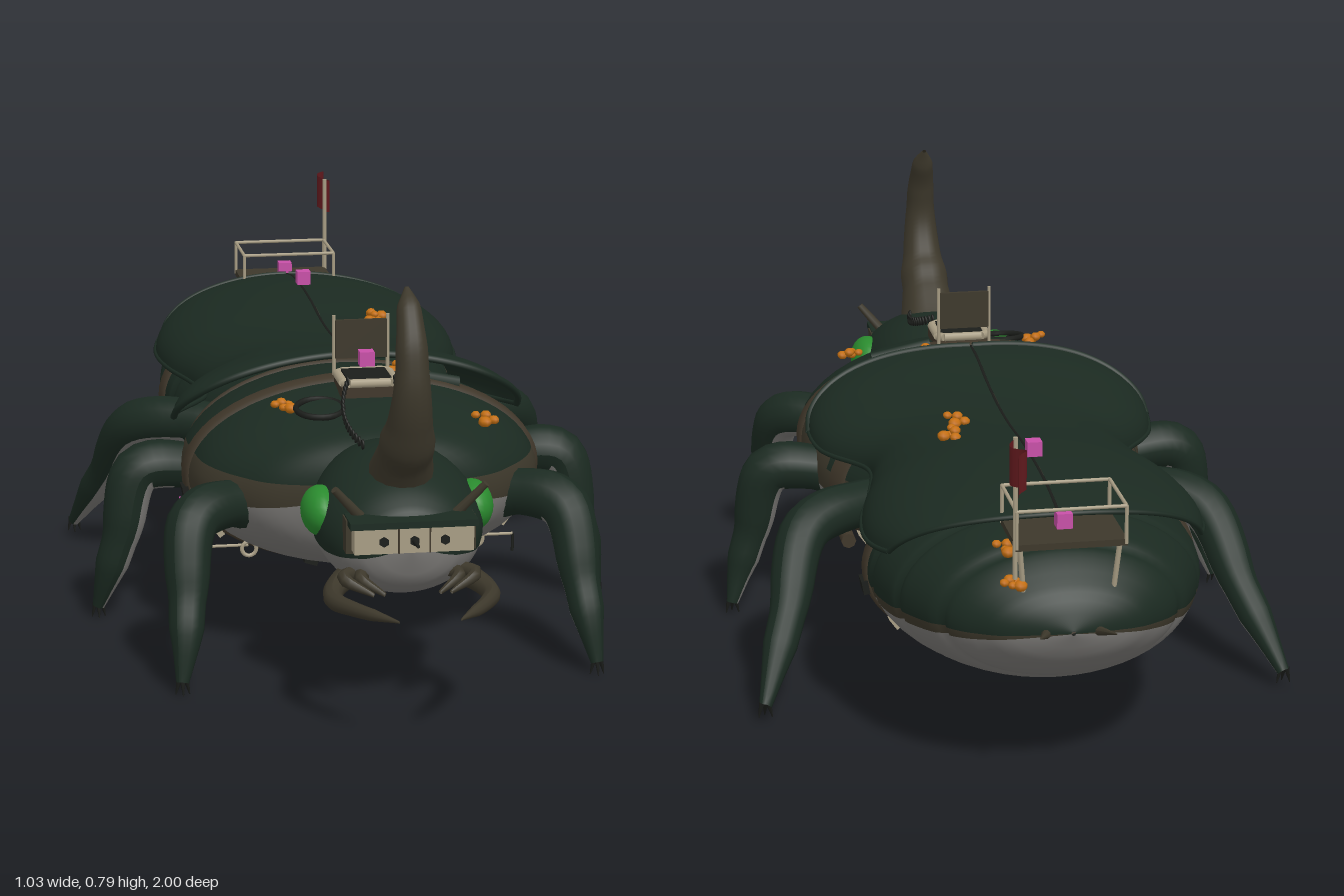
import * as THREE from 'three';

const mat = (name, color, side = THREE.FrontSide) => {
  const m = new THREE.MeshStandardMaterial({ color, side });
  m.name = name;
  return m;
};
const V = (x, y, z) => new THREE.Vector3(x, y, z);

export function createModel() {
  const root = new THREE.Group();
  root.name = 'ridingBeetle';
  const D = THREE.DoubleSide;
  const green = mat('shell green', 0x1b2a21, D), brown = mat('horn brown', 0x3d382b, D);
  const grey = mat('belly grey', 0x7a7875), tan = mat('brass tan', 0xa89d84);
  const leather = mat('strap leather', 0x40372a, D), dark = mat('dark iron', 0x1b1d1a);
  const eyeGreen = mat('eye green', 0x2a8a2e), orange = mat('fungus orange', 0xc46f12);
  const pink = mat('marker pink', 0xc850a8), red = mat('flag red', 0x641a1e, D);

  const add = (name, geo, m, x = 0, y = 0, z = 0) => {
    const o = new THREE.Mesh(geo, m);
    o.name = name;
    o.position.set(x, y, z);
    root.add(o);
    return o;
  };
  const box = (name, m, w, h, d, x, y, z) => add(name, new THREE.BoxGeometry(w, h, d), m, x, y, z);
  // Straight rod between two points, optionally tapered
  const rod = (name, m, a, b, r0, r1 = r0, sides = 8) => {
    const d = b.clone().sub(a);
    const o = add(name, new THREE.CylinderGeometry(r1, r0, d.length(), sides), m);
    o.position.copy(a).add(b).multiplyScalar(0.5);
    o.quaternion.setFromUnitVectors(V(0, 1, 0), d.normalize());
    return o;
  };
  // Sorts faces into material groups; pick gets the face number and its normal
  const paint = (geo, count, pick) => {
    const idx = geo.index.array, p = geo.attributes.position, sets = Array.from({ length: count }, () => []);
    const a = V(), b = V(), c = V();
    for (let i = 0; i < idx.length; i += 3) {
      a.fromBufferAttribute(p, idx[i]); b.fromBufferAttribute(p, idx[i + 1]); c.fromBufferAttribute(p, idx[i + 2]);
      const n = b.sub(a).cross(c.sub(a)).normalize();
      sets[pick(i / 3, n)].push(idx[i], idx[i + 1], idx[i + 2]);
    }
    geo.setIndex(sets.flat());
    let start = 0;
    sets.forEach((s, k) => { geo.addGroup(start, s.length, k); start += s.length; });
    return geo;
  };
  // Grid surface from a point rule; closed joins the last column to the first
  const loft = (rows, cols, closed, point) => {
    const pos = [], idx = [], n = closed ? cols : cols + 1;
    for (let r = 0; r <= rows; r++) for (let c = 0; c < n; c++) pos.push(...point(r / rows, c / cols));
    for (let r = 0; r < rows; r++) for (let c = 0; c < cols; c++) {
      const a = r * n + c, b = r * n + (c + 1) % n;
      idx.push(a, b, a + n, b, b + n, a + n);
    }
    const g = new THREE.BufferGeometry();
    g.setAttribute('position', new THREE.Float32BufferAttribute(pos, 3));
    g.setIndex(idx);
    g.computeVertexNormals();
    return g;
  };
  // Smooth lookup in a table of [z, a, b, c] running front to back
  const profile = (table) => {
    const f = new THREE.CubicInterpolant(table.map(t => -t[0]), table.flatMap(t => t.slice(1)), 3, new Float32Array(3));
    return z => Array.from(f.evaluate(-z));
  };
  const pipe = (name, pts, r, m) => add(name, new THREE.TubeGeometry(new THREE.CatmullRomCurve3(pts), 48, r, 6), m);
  const limb = (pts, radii, segs = 24, sides = 12) => {
    const curve = new THREE.CatmullRomCurve3(pts), g = new THREE.TubeGeometry(curve, segs, 1, sides), p = g.attributes.position;
    for (let i = 0; i < p.count; i++) {
      const t = Math.floor(i / (sides + 1)) / segs, c = curve.getPointAt(t), k = t * (radii.length - 1);
      const j = Math.min(Math.floor(k), radii.length - 2), r = THREE.MathUtils.lerp(radii[j], radii[j + 1], k - j);
      const v = V().fromBufferAttribute(p, i).sub(c).multiplyScalar(r).add(c);
      p.setXYZ(i, v.x, v.y, v.z);
    }
    g.computeVertexNormals();
    return g;
  };

  // Body and head: half width, top and bottom at each z
  const bodyAt = profile([[.52, .1, .43, .27], [.48, .2, .455, .22], [.42, .27, .475, .19], [.34, .322, .495, .165],
    [.24, .338, .508, .15], [.1, .335, .5, .135], [.02, .318, .485, .135], [-.06, .28, .465, .148], [-.15, .243, .455, .165],
    [-.25, .258, .455, .155], [-.36, .29, .465, .14], [-.5, .307, .475, .135], [-.62, .297, .48, .145], [-.72, .265, .475, .165],
    [-.8, .222, .452, .195], [-.86, .165, .41, .235], [-.9, .09, .365, .28], [-.915, .004, .325, .317]]);
  const headAt = profile([[.815, .003, .35, .325], [.805, .06, .38, .28], [.78, .105, .408, .25], [.73, .14, .44, .225],
    [.66, .155, .46, .22], [.58, .148, .468, .222], [.5, .125, .455, .235], [.42, .1, .42, .26]]);
  const ring = (at, z, a, grow = 0) => {
    const [w, top, bot] = at(z);
    return [(w + grow) * Math.sin(a), (top + bot) / 2 + ((top - bot) / 2 + grow) * Math.cos(a), z];
  };
  const creases = [-.41, -.54, -.68, -.8];
  const height = face => Math.abs((Math.floor(face / 2) % 48) - 23.5); // 0 belly line, 23.5 back line
  const bodySkin = (face) => { // green back, brown flank, grey belly
    const z = .52 - Math.floor(face / 96) / 140 * 1.435, h = height(face);
    const [hi, lo] = z > .02 ? [14.4, 11.2] : z > -.25 ? [12.8, 11] : [10.8, 9.8];
    return h > hi ? 0 : h > lo ? 1 : 2;
  };
  const bodyGeo = loft(140, 48, true, (u, v) => {
    const z = .52 - u * 1.435;
    const dent = creases.reduce((s, k) => s + Math.exp(-(((z - k) / .008) ** 2)), 0);
    return ring(bodyAt, z, v * Math.PI * 2, -.009 * dent);
  });
  add('body', paint(bodyGeo, 3, bodySkin), [green, brown, grey]);
  const headGeo = loft(40, 48, true, (u, v) => ring(headAt, .815 - u * .395, v * Math.PI * 2));
  add('head', paint(headGeo, 2, f => (height(f) > 9.8 ? 0 : 1)), [green, grey]);

  // Wing covers: half width, ridge height and edge height, with slanted ends
  const wingAt = profile([[.165, .325, .533, .41], [.08, .343, .53, .4], [-.02, .33, .516, .385], [-.15, .255, .505, .385],
    [-.28, .27, .505, .382], [-.42, .305, .514, .382], [-.55, .314, .516, .385], [-.66, .288, .512, .4], [-.72, .255, .505, .415],
    [-.78, .2, .495, .43]]);
  const wingPoint = (s, u, t) => {
    const z = THREE.MathUtils.lerp(.15 + .05 * t - .14 * t ** 3, -.775 + .12 * t * t, u), [w, top, edge] = wingAt(Math.min(z, .165)), a = t * Math.PI / 2;
    return [s * (.003 + (w - .003) * Math.sin(a)), edge + (top - edge) * Math.cos(a), z];
  };
  const along = (n, f) => Array.from({ length: n + 1 }, (_, i) => V(...f(i / n)));
  for (const s of [-1, 1]) {
    add('wingCover', loft(48, 18, false, (u, v) => wingPoint(s, u, s > 0 ? v : 1 - v)), green);
    pipe('wingCoverRim', along(18, k => wingPoint(s, k, 1)), .005, green);
    pipe('wingCoverLip', along(10, k => wingPoint(s, 0, k)), .007, green);
    pipe('wingCoverTail', along(10, k => wingPoint(s, 1, k)), .005, green);
  }
  pipe('wingSeam', along(16, k => [0, wingPoint(1, k, 0)[1] - .002, wingPoint(1, k, 0)[2]]), .0035, dark);

  // Straps with buckles
  for (const z of [.24, -.025, -.48]) {
    const lip = [0, .008, .008, 0];
    add('strap', loft(3, 64, true, (u, v) => {
      const i = Math.round(u * 3);
      return ring(bodyAt, z + [.018, .016, -.016, -.018][i], v * Math.PI * 2, lip[i]);
    }), leather);
    for (const s of [-1, 1]) for (const a of [1.75, 2.2, 2.85]) {
      const p = ring(bodyAt, z, a * s, .009);
      box('buckle', a === 2.2 ? tan : dark, .026, .012, .042, ...p).rotation.z = -a * s;
    }
  }

  // Horn with slight knobs
  add('horn', limb([V(0, .4, .66), V(0, .46, .71), V(0, .54, .775), V(0, .62, .803), V(0, .7, .795), V(0, .76, .765), V(0, .792, .742)],
    [.07, .062, .056, .05, .051, .042, .038, .034, .03, .029, .025, .022, .004], 40, 14), brown);

  // Face plate under a shell brow
  box('plateFrame', brown, .235, .062, .04, 0, .354, .78);
  box('facePlate', tan, .215, .045, .05, 0, .353, .81);
  box('plateBrow', green, .23, .012, .075, 0, .382, .8);
  for (const x of [-.055, 0, .055])
    add('platePort', new THREE.CylinderGeometry(.009, .009, .008, 6), dark, x, .353, .836).rotation.x = Math.PI / 2;
  for (const x of [-.028, .028]) box('plateJoint', leather, .003, .045, .004, x, .353, .835);
  rod('plateSpike', dark, V(0, .353, .83), V(0, .353, .875), .006, .003);

  for (const s of [-1, 1]) {
    // Head details
    add('eye', new THREE.SphereGeometry(1, 20, 14), eyeGreen, s * .14, .363, .65).scale.set(.037, .046, .06);
    rod('antenna', brown, V(s * .085, .38, .77), V(s * .137, .44, .79), .01, .007);
    add('mandible', limb([V(s * .09, .26, .7), V(s * .13, .25, .76), V(s * .142, .245, .82), V(s * .115, .25, .9), V(s * .055, .255, .998)],
      [.024, .02, .017, .014, .011, .002], 20, 10), brown);
    for (const k of [0, 1])
      add('palp', limb([V(s * (.06 + k * .03), .275, .75), V(s * (.09 + k * .03), .275, .79), V(s * (.05 + k * .02), .25, .82)], [.014, .012, .004], 10, 8), brown);
    // Legs: hip, knee, shin, foot
    const legs = {
      frontLeg: [[.2, .29, .36], [.28, .315, .41], [.352, .3, .465], [.372, .17, .535], [.38, .1, .575], [.39, .03, .6]],
      middleLeg: [[.24, .28, .09], [.33, .31, .1], [.42, .305, .11], [.455, .18, .12], [.48, .1, .115], [.5, .03, .1]],
      rearLeg: [[.18, .3, -.12], [.28, .325, -.18], [.39, .305, -.25], [.44, .18, -.36], [.475, .1, -.43], [.5, .04, -.48]],
    };
    for (const [name, pts] of Object.entries(legs)) {
      const p = pts.map(q => V(s * q[0], q[1], q[2]));
      const g = limb(p, [.05, .048, .045, .048, .048, .045, .042, .035, .033, .022, .012], 30, 14);
      const outward = p[5].clone().sub(p[0]).setY(0).normalize().multiplyScalar(.75).setY(.65);
      add(name, paint(g, 2, (f, n) => (n.dot(outward) < -.58 ? 1 : 0)), [green, grey]);
      const foot = p[5];
      for (const k of [-1, 0, 1])
        rod('claw', dark, foot.clone().add(V(k * .006, .008, 0)), foot.clone().add(V(k * .013, -.022, k ? 0 : .014)), .006, .001, 5);
    }
    // Stirrup gear
    add('stirrupRing', new THREE.TorusGeometry(.014, .004, 6, 16), tan, s * .222, .182, .265);
    rod('stirrupBar', tan, V(s * .222, .185, .25), V(s * .298, .185, .25), .003);
    rod('stirrupHook', dark, V(s * .298, .185, .25), V(s * .298, .15, .25), .003);
    rod('sideCanister', leather, V(s * .28, .2, -.045), V(s * .28, .2, .005), .015);
    box('sideMarker', pink, .026, .026, .026, s * .318, .212, .042);
    rod('tailSpike', brown, V(s * .04, .315, -.885), V(s * .068, .333, -.96), .012, .001);
    // Rein chain
    const chain = new THREE.QuadraticBezierCurve3(V(s * .045, .53, .36), V(s * .09, .485, .47), V(s * .055, .47, .6));
    for (let i = 0; i <= 16; i++) {
      const link = add('chainLink', new THREE.TorusGeometry(.008, .0022, 5, 8), dark);
      link.position.copy(chain.getPoint(i / 16));
      link.rotation.set(i % 2 ? Math.PI / 2 : 0, Math.PI / 2, 0);
    }
  }

  // Saddle, seat back and gear
  box('saddleBase', leather, .11, .02, .11, 0, .505, .3);
  box('saddleSeat', dark, .085, .02, .085, 0, .52, .3);
  for (const s of [-1, 1]) {
    rod('saddleSideRail', tan, V(s * .05, .522, .262), V(s * .05, .522, .338), .009);
    rod('saddleEndRail', tan, V(-.038, .522, .3 + s * .05), V(.038, .522, .3 + s * .05), .009);
    for (const k of [-1, 1]) rod('saddleCorner', tan, V(s * .05, .522, .3 + k * .038), V(s * .038, .522, .3 + k * .05), .009);
    rod('seatBackPost', tan, V(s * .052, .49, .236), V(s * .052, .63, .236), .0035);
  }
  box('seatBack', brown, .1, .075, .008, 0, .583, .236);
  rod('bedroll', green, V(.07, .51, .235), V(.19, .485, .235), .016);
  add('ropeCoil', new THREE.TorusGeometry(.045, .006, 6, 24), dark, -.1, .482, .37).rotation.x = Math.PI / 2 + .15;
  box('saddleMarker', pink, .028, .028, .028, 0, .56, .302);
  box('backMarker', pink, .028, .028, .028, 0, .54, -.53);
  box('platformMarker', pink, .028, .028, .028, 0, .5, -.815);

  // Rear platform with rails and flag
  box('platformFloor', brown, .2, .012, .15, 0, .478, -.817);
  for (const s of [-1, 1]) {
    for (const z of [-.744, -.89]) rod('railPost', tan, V(s * .098, .475, z), V(s * .098, .545, z), .0035);
    rod('sideRail', tan, V(s * .098, .545, -.744), V(s * .098, .545, -.89), .0035);
    rod('platformLeg', tan, V(s * .09, .475, -.875), V(s * .08, .37, -.865), .005);
  }
  for (const z of [-.744, -.89]) rod('crossRail', tan, V(-.098, .545, z), V(.098, .545, z), .0035);
  rod('flagPole', tan, V(.1, .42, -.887), V(.1, .682, -.887), .0045);
  add('flag', loft(16, 4, false, (u, v) => [.104 + .011 * Math.sin(u * 8), .608 + v * .07 - .004 * Math.sin(u * 6), -.888 - u * .112]), red);

  // Fungus clusters
  const clusters = [[.1, .503, -.24], [.12, .5, -.31], [-.165, .48, .345], [.21, .452, .39], [.075, .51, .2], [.1, .4, -.865], [.1, .44, -.79]];
  clusters.forEach(([x, y, z], c) => {
    for (let i = 0; i < 5; i++) {
      const a = i * 2.4 + c, d = .01 * Math.sqrt(i);
      const cap = add('fungus', new THREE.SphereGeometry(.009 + (i % 3) * .002, 7, 5), orange, x + d * Math.cos(a), y + (i % 2) * .008, z + d * Math.sin(a));
      cap.scale.y = .8;
    }
  });
  return root;
}
